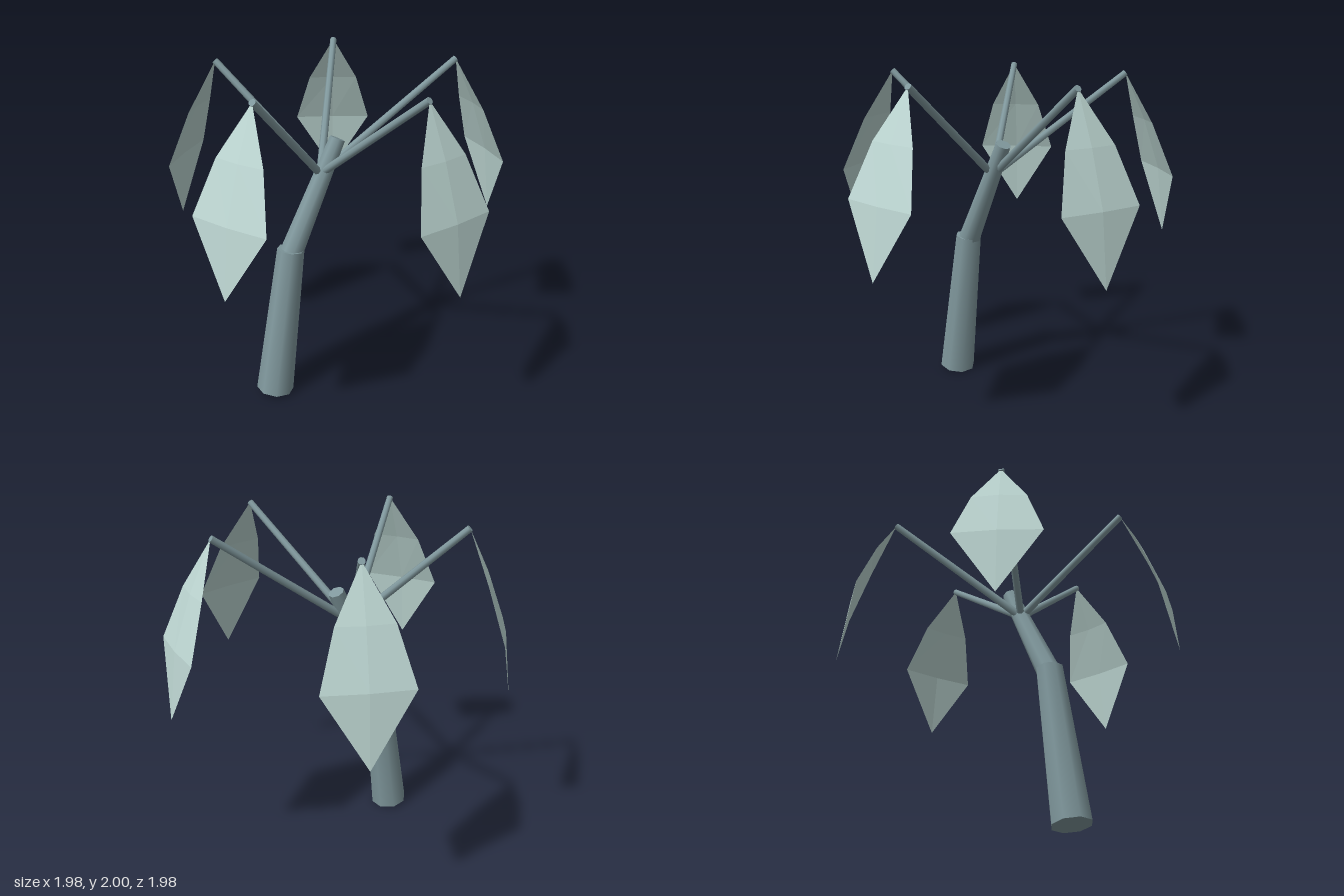
import * as THREE from 'three';

const V = (x, y, z) => new THREE.Vector3(x, y, z);

// Tapered eight-sided limb between two points
function limb(name, a, b, ra, rb, material) {
  const axis = b.clone().sub(a);
  const geo = new THREE.CylinderGeometry(rb, ra, axis.length(), 8, 1, false, Math.PI / 8);
  const mesh = new THREE.Mesh(geo, material);
  mesh.name = name;
  mesh.position.copy(a).add(b).multiplyScalar(0.5);
  mesh.quaternion.setFromUnitVectors(V(0, 1, 0), axis.normalize());
  return mesh;
}

// Drooping leaf: local +z points outward, origin at the branch tip
function leafGeometry() {
  // [drop, half width, outward, midrib lift]
  const rows = [
    [0, 0, 0, 0],
    [-0.28, 0.153, 0.12, 0.012],
    [-0.585, 0.243, 0.228, 0.012],
    [-0.985, 0, 0.29, 0],
  ];
  const pts = rows.map(([y, w, z, lift]) => [V(-w, y, z), V(0, y, z + lift), V(w, y, z)]);
  const tris = [];
  for (let i = 0; i < 3; i++) {
    for (let j = 0; j < 2; j++) {
      const a = pts[i][j], b = pts[i][j + 1], c = pts[i + 1][j], d = pts[i + 1][j + 1];
      if (i > 0) tris.push(a, d, b);
      if (i < 2) tris.push(a, c, d);
      else tris.push(a, c, b);
      if (i === 2) tris.splice(-6, 3); // bottom row closes to a point
    }
  }
  const geo = new THREE.BufferGeometry().setFromPoints(tris);
  geo.computeVertexNormals();
  return geo;
}

export function createModel() {
  const bark = new THREE.MeshStandardMaterial({ color: 0x80989d });
  bark.name = 'blue grey bark';
  const foliage = new THREE.MeshStandardMaterial({ color: 0xbcd5d1, side: THREE.DoubleSide });
  foliage.name = 'pale green leaf';

  const model = new THREE.Group();
  model.name = 'palmTree';

  // Leaning trunk in two sections
  model.add(limb('lowerTrunk', V(-0.483, 0.02, -0.02), V(-0.345, 0.96, -0.02), 0.114, 0.081, bark));
  model.add(limb('upperTrunk', V(-0.345, 0.93, -0.02), V(-0.02, 1.585, -0.03), 0.07, 0.047, bark));

  // Branches with one leaf each: tip x, tip z, leaf direction x, z
  const fronds = [
    [0.70, 0.10, 0.29, 0.052],
    [0.33, -0.68, 0.135, -0.257],
    [-0.525, -0.56, -0.20, -0.21],
    [-0.685, 0.285, -0.262, 0.125],
    [0.08, 0.70, 0.041, 0.287],
  ];
  const hub = V(-0.13, 1.385, -0.04);
  const leafGeo = leafGeometry();
  for (const [x, z, dx, dz] of fronds) {
    const tip = V(x, 1.985, z);
    model.add(limb('branch', hub, tip, 0.024, 0.02, bark));
    const leaf = new THREE.Mesh(leafGeo, foliage);
    leaf.name = 'leaf';
    leaf.position.copy(tip);
    leaf.rotation.y = Math.atan2(dx, dz);
    model.add(leaf);
  }
  return model;
}
